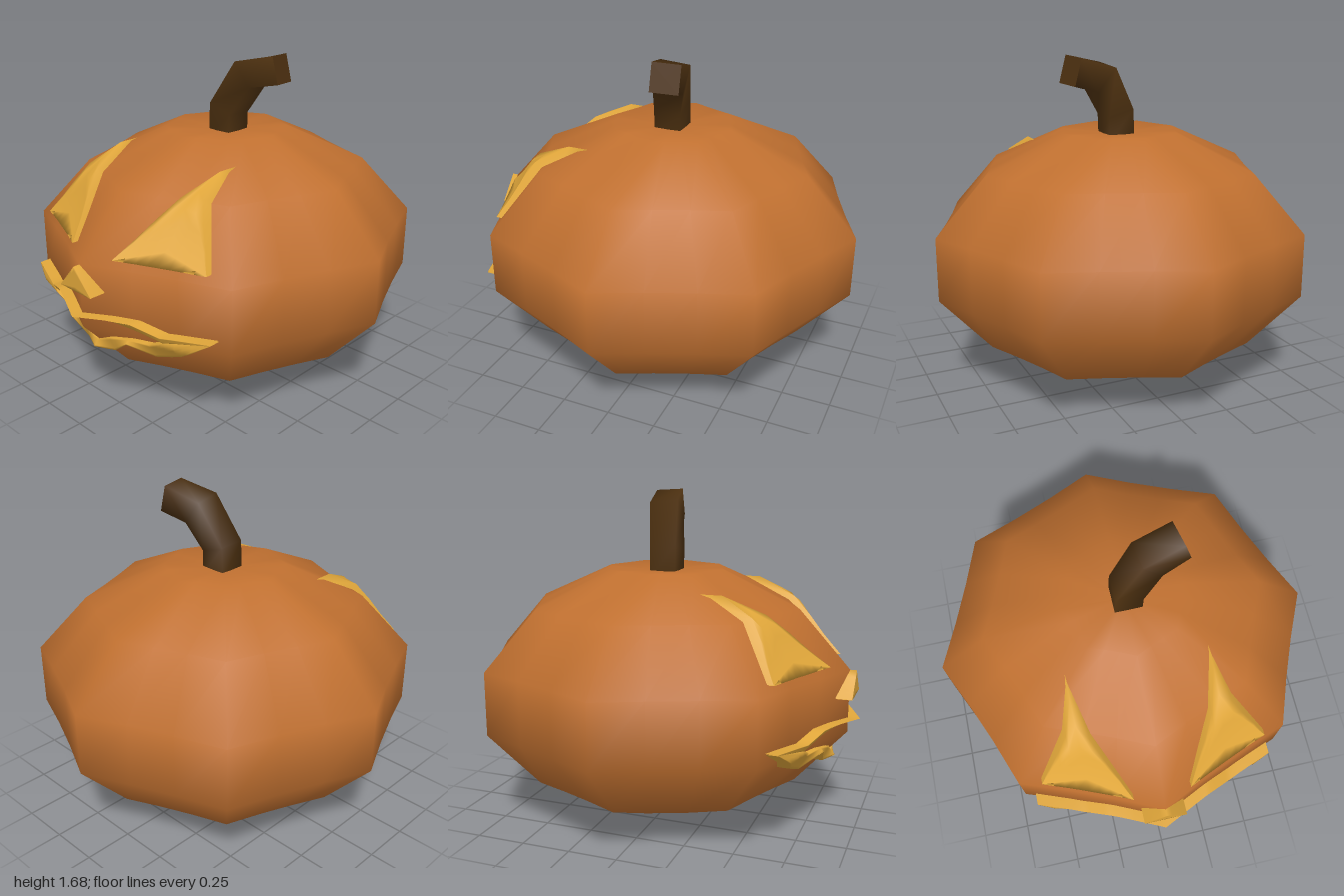
import * as THREE from 'three';

const orange = new THREE.MeshStandardMaterial({ color: 0xc07030 });
orange.name = 'pumpkin orange';
const yellow = new THREE.MeshStandardMaterial({ color: 0xe0a63a, side: THREE.DoubleSide });
yellow.name = 'glowing yellow';
const brown = new THREE.MeshStandardMaterial({ color: 0x4c3010 });
brown.name = 'stem brown';

function buildMesh(name, positions, indices, material) {
  const g = new THREE.BufferGeometry();
  g.setAttribute('position', new THREE.Float32BufferAttribute(positions, 3));
  g.setIndex(indices);
  g.computeVertexNormals();
  const mesh = new THREE.Mesh(g, material);
  mesh.name = name;
  return mesh;
}

// Skin over closed rings of points, listed from bottom to top
function loft(name, rings, material) {
  const n = rings[0].length, indices = [];
  for (let i = 0; i < rings.length - 1; i++) {
    for (let j = 0; j < n; j++) {
      const k = (j + 1) % n;
      const a = i * n + j, b = i * n + k, c = a + n, d = b + n;
      indices.push(a, b, d, a, d, c);
    }
  }
  return buildMesh(name, rings.flat().flatMap(p => p.toArray()), indices, material);
}

// Eight-lobed body: each lobe has three segments, with ridges every 45 degrees
function makeBody() {
  const profile = [[0.001, 0], [0.27, 0.03], [0.71, 0.22], [0.97, 0.51],
    [0.97, 0.83], [0.71, 1.115], [0.31, 1.295], [0.001, 1.275]];
  const rings = profile.map(([r, y]) => Array.from({ length: 24 }, (_, j) => {
    const a = j * Math.PI / 12, s = j % 3 ? r * 0.922 : r;
    return new THREE.Vector3(s * Math.sin(a), y, s * Math.cos(a) - 0.03);
  }));
  return loft('pumpkinBody', rings, orange);
}

// Square stem that bends twice: centre, direction and half width per ring
function makeStem() {
  const z = new THREE.Vector3(0, 0, 1);
  const sections = [
    [[0.012, 1.24, -0.03], [0, 1, 0], 0.069],
    [[0.017, 1.39, -0.03], [0.04, 0.135, -0.01], 0.07],
    [[0.122, 1.57, -0.07], [0.12, 0.095, -0.03], 0.075],
    [[0.293, 1.612, -0.112], [0.135, 0.035, -0.03], 0.07],
    [[0.293, 1.612, -0.112], [0.135, 0.035, -0.03], 0.07],
    [[0.293, 1.612, -0.112], [0.135, 0.035, -0.03], 0.0005],
  ];
  const rings = sections.map(([c, d, h]) => {
    const t = new THREE.Vector3(...d).normalize();
    const u = t.clone().cross(z).normalize(), w = u.clone().cross(t);
    return [[-1, 1], [1, 1], [1, -1], [-1, -1]].map(([a, b]) =>
      new THREE.Vector3(...c).addScaledVector(u, a * h).addScaledVector(w, b * h));
  });
  return loft('stem', rings, brown);
}

// Carved piece following the body: columns are [x, lowY, highY], left to right
function carve(name, body, columns, offset, depth = 0.14, flatZ = null) {
  const ray = new THREE.Raycaster(), dir = new THREE.Vector3(0, 0, -1);
  const surfaceZ = (x, y) => {
    ray.set(new THREE.Vector3(x, y, 5), dir);
    return ray.intersectObject(body)[0].point.z;
  };
  const sub = 4, rows = 6, fine = [];
  columns.forEach((c, i) => {
    if (i === 0) return fine.push(c);
    for (let s = 1; s <= sub; s++) {
      fine.push(c.map((v, k) => THREE.MathUtils.lerp(columns[i - 1][k], v, s / sub)));
    }
  });
  // Each column runs back-bottom, front rows, back-top
  const positions = [], indices = [], stride = rows + 3;
  for (const [x, lo, hi] of fine) {
    const front = [];
    for (let r = 0; r <= rows; r++) {
      const v = r / rows, y = THREE.MathUtils.lerp(lo, hi, v);
      front.push([x, y, flatZ ?? surfaceZ(x, y) + offset(x, y, v)]);
    }
    const back = ([a, b, c]) => [a, b, c - depth];
    positions.push(...back(front[0]), ...front.flat(), ...back(front[rows]));
  }
  for (let i = 0; i < fine.length - 1; i++) {
    for (let r = 0; r < stride - 1; r++) {
      const a = i * stride + r, b = a + stride;
      indices.push(a, b, b + 1, a, b + 1, a + 1);
    }
  }
  return buildMesh(name, positions, indices, yellow);
}

// Full symmetric column list from the half that runs from the centre to +x
const mirrored = half => [
  ...half.slice(1).reverse().map(([x, a, b]) => [-x, a, b]), ...half];

export function createModel() {
  const group = new THREE.Group();
  const body = makeBody();
  body.updateMatrixWorld(true);
  group.add(body, makeStem());

  // Triangular eyes, standing out more toward the tip
  const eye = [[0.145, 0.87, 0.872], [0.35, 0.87, 1.22], [0.57, 0.87, 0.872]];
  const eyeOffset = (x, y) => 0.03 + 0.08 * ((y - 0.87) / 0.35) ** 2;
  group.add(carve('leftEye', body, eye, eyeOffset));
  group.add(carve('rightEye', body,
    eye.map(([x, a, b]) => [-x, a, b]).reverse(), eyeOffset));

  // Nose wedge with a level front
  group.add(carve('nose', body,
    mirrored([[0, 0.705, 0.83], [0.11, 0.705, 0.707]]), null, 0.09, 0.972));

  // Mouth: thin upper lip and toothed lower lip, sinking toward the middle gap
  const upper = mirrored([[0, 0.577, 0.585], [0.15, 0.575, 0.595],
    [0.27, 0.555, 0.595], [0.4, 0.525, 0.557], [0.63, 0.57, 0.575]]);
  const lower = mirrored([[0, 0.38, 0.41], [0.1, 0.38, 0.46], [0.21, 0.465, 0.48],
    [0.31, 0.4, 0.48], [0.4, 0.43, 0.525], [0.46, 0.455, 0.54], [0.63, 0.57, 0.575]]);
  const sink = (x, v) => 0.06 - 0.05 * v * (1 - Math.abs(x) / 0.63);
  group.add(carve('upperLip', body, upper, (x, y, v) => sink(x, 1 - v), 0.1));
  group.add(carve('lowerLip', body, lower, (x, y, v) => sink(x, v), 0.1));
  return group;
}
